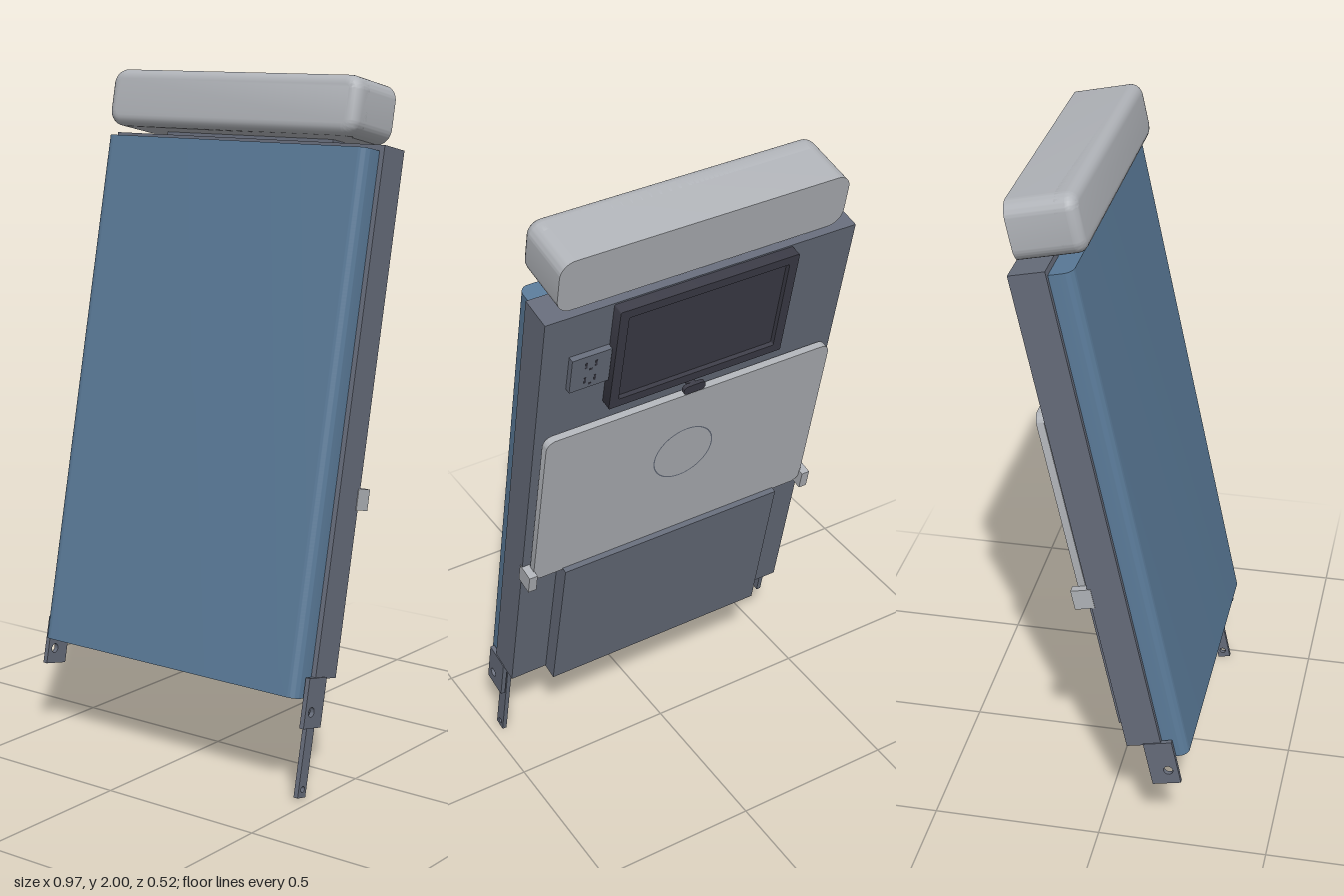
import * as THREE from 'three';
import { toCreasedNormals } from 'three/addons/utils/BufferGeometryUtils.js';

function flat(name, color) {
  const m = new THREE.MeshStandardMaterial({ color });
  m.name = name;
  return m;
}

export function createModel() {
  const blue = flat('cushionBlue', 0x5a7a98);
  const light = flat('lightGrey', 0xb0b3b8);
  const grey = flat('frameGrey', 0x666c7a);
  const dark = flat('screenDark', 0x3c3c47);

  const model = new THREE.Group();
  model.name = 'reclinedSeatBack';
  // Everything is built upright, then leaned back
  const lean = new THREE.Group();
  lean.name = 'leaningAssembly';
  lean.position.set(0, 0.305, 0.26);
  lean.rotation.x = -0.21;
  model.add(lean);

  function add(name, geometry, material) {
    const mesh = new THREE.Mesh(geometry, material);
    mesh.name = name;
    lean.add(mesh);
    return mesh;
  }

  // Box given by its limits
  function box(name, x0, x1, y0, y1, z0, z1, material) {
    const mesh = add(name, new THREE.BoxGeometry(x1 - x0, y1 - y0, z1 - z0), material);
    mesh.position.set((x0 + x1) / 2, (y0 + y1) / 2, (z0 + z1) / 2);
    return mesh;
  }

  function roundedRect(x0, x1, y0, y1, r) {
    const s = new THREE.Shape();
    s.absarc(x1 - r, y0 + r, r, -Math.PI / 2, 0);
    s.absarc(x1 - r, y1 - r, r, 0, Math.PI / 2);
    s.absarc(x0 + r, y1 - r, r, Math.PI / 2, Math.PI);
    s.absarc(x0 + r, y0 + r, r, Math.PI, Math.PI * 1.5);
    s.closePath();
    return s;
  }

  function extrude(shape, depth, bevel = 0) {
    const g = new THREE.ExtrudeGeometry(shape, {
      depth, curveSegments: 8, bevelEnabled: bevel > 0,
      bevelSize: bevel, bevelThickness: bevel, bevelOffset: -bevel, bevelSegments: 5,
    });
    return toCreasedNormals(g, 0.6);
  }

  // Back cushion: rounded front edges, square ends
  const section = new THREE.Shape();
  section.moveTo(-0.468, 0.068);
  section.lineTo(-0.468, 0.028);
  section.absarc(-0.44, 0.028, 0.028, Math.PI, Math.PI * 1.5);
  section.absarc(0.44, 0.028, 0.028, -Math.PI / 2, 0);
  section.lineTo(0.468, 0.068);
  section.closePath();
  add('backCushion', extrude(section, 1.533).rotateX(-Math.PI / 2), blue);
  box('cushionBackingStrip', -0.46, 0.46, 0.002, 0.06, -0.072, -0.0675, light);

  // Frame shell and the thicker lower panel
  box('frameShell', -0.483, 0.483, 0.055, 1.55, -0.17, -0.0675, grey);
  box('lowerRearPanel', -0.365, 0.365, 0.053, 0.56, -0.219, -0.165, grey);

  // Headrest: square back, filleted front
  box('headrestMount', -0.3, 0.3, 1.545, 1.59, -0.14, -0.08, grey);
  const pad = roundedRect(-0.443, 0.443, 1.56, 1.728, 0.045);
  add('headrest', extrude(pad, 0.164), light).position.z = -0.154;
  add('headrestFront', extrude(pad, 0.03, 0.03), light).position.z = -0.02;

  // Side plates with a hole, lying in the y-z plane
  function sidePlate(name, xMax, thick, z0, z1, y0, y1, hz, hy, hr) {
    const s = new THREE.Shape([
      new THREE.Vector2(z0, y0), new THREE.Vector2(z1, y0),
      new THREE.Vector2(z1, y1), new THREE.Vector2(z0, y1),
    ]);
    const hole = new THREE.Path();
    hole.absarc(hz, hy, hr, 0, Math.PI * 2, true);
    s.holes.push(hole);
    add(name, extrude(s, thick).rotateY(-Math.PI / 2), grey).position.x = xMax;
  }
  sidePlate('leftBracket', 0.486, 0.014, -0.12, -0.035, -0.083, 0.06, -0.064, -0.037, 0.014);
  sidePlate('rightBracket', -0.472, 0.014, -0.12, -0.035, -0.083, 0.06, -0.064, -0.037, 0.014);
  sidePlate('leftLeg', 0.467, 0.014, -0.118, -0.08, -0.286, 0.058, -0.1, -0.262, 0.009);

  // Folded tray with a shallow cup ring, held by two hinges
  add('trayTable', extrude(roundedRect(-0.462, 0.462, 0.555, 1.131, 0.03), 0.022), light)
    .position.z = -0.201;
  const ring = add('cupRing', new THREE.RingGeometry(0.094, 0.098, 40), grey);
  ring.rotation.y = Math.PI;
  ring.position.set(0, 0.89, -0.2018);
  for (const s of [-1, 1]) {
    const x = s * 0.472;
    box('trayHinge', x - 0.013, x + 0.013, 0.532, 0.593, -0.218, -0.16, light);
  }

  // Tray latch
  const post = add('latchPost', new THREE.CylinderGeometry(0.013, 0.013, 0.035, 16), dark);
  post.rotation.x = Math.PI / 2;
  post.position.set(0, 1.155, -0.185);
  add('latchTab', extrude(roundedRect(-0.035, 0.035, 1.138, 1.168, 0.013), 0.012), dark)
    .position.z = -0.206;

  // Screen: raised bezel around a recessed panel
  const bezel = roundedRect(-0.278, 0.278, 1.188, 1.545, 0.004);
  bezel.holes.push(roundedRect(-0.25, 0.25, 1.216, 1.517, 0.004));
  add('screenBezel', extrude(bezel, 0.04), dark).position.z = -0.204;
  box('screenPanel', -0.255, 0.255, 1.21, 1.522, -0.19, -0.165, dark);

  // Power outlet with two sockets
  box('outletPlate', 0.28, 0.4, 1.288, 1.405, -0.188, -0.165, grey);
  for (const y of [1.318, 1.372]) {
    for (const x of [0.325, 0.355]) {
      box('outletSlot', x - 0.003, x + 0.003, y - 0.01, y + 0.01, -0.189, -0.186, dark);
    }
    box('outletPin', 0.336, 0.344, y - 0.02, y - 0.014, -0.189, -0.186, dark);
  }

  return model;
}
